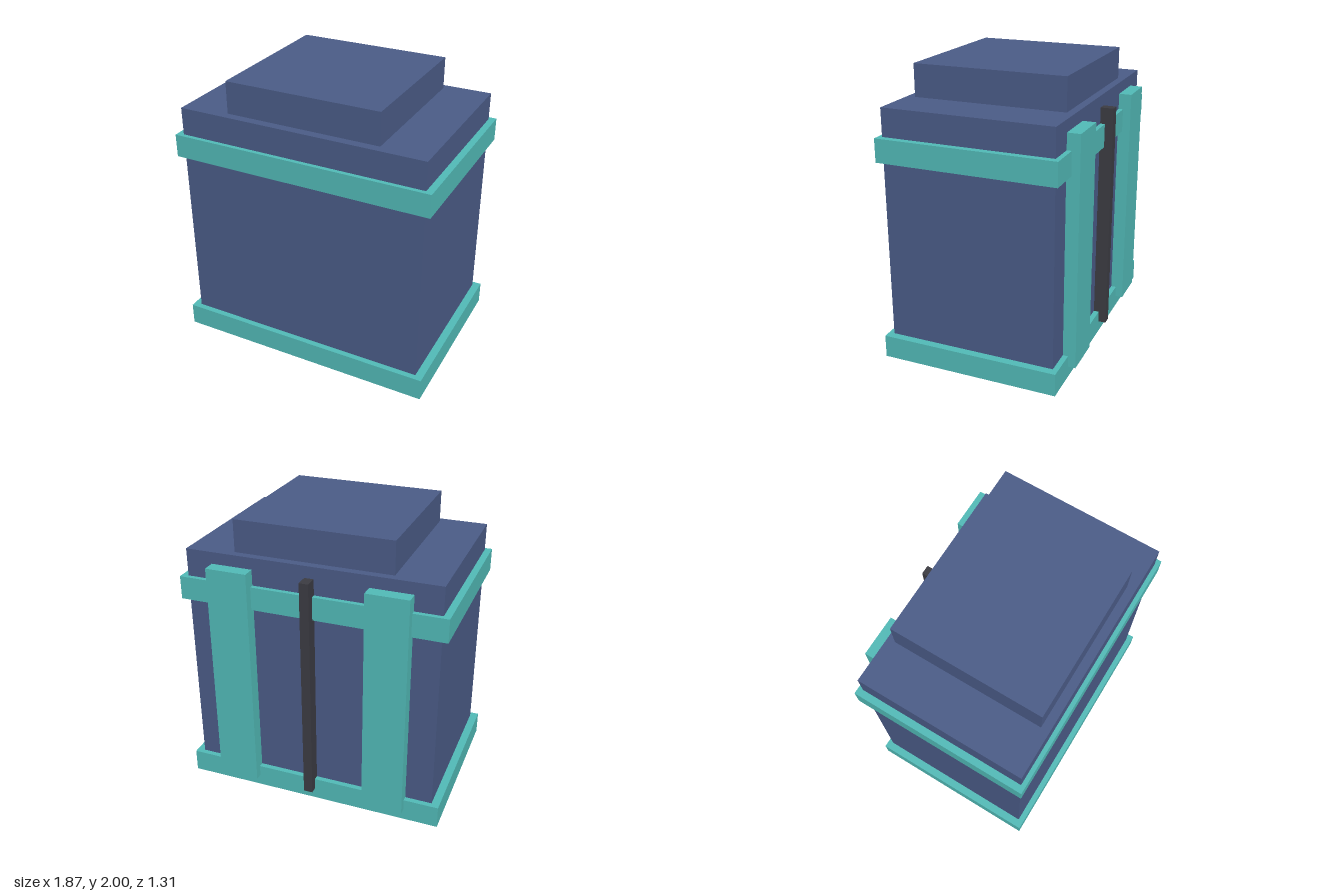
import * as THREE from 'three';

export function createModel() {
  const model = new THREE.Group();
  const navy = new THREE.MeshStandardMaterial({ name: 'navy', color: 0x4b5c88 });
  const teal = new THREE.MeshStandardMaterial({ name: 'teal', color: 0x52bbb8 });
  const charcoal = new THREE.MeshStandardMaterial({ name: 'charcoal', color: 0x3c3c43 });

  // Box given by its extents along each axis
  function block(name, material, [x0, x1], [y0, y1], [z0, z1]) {
    const mesh = new THREE.Mesh(new THREE.BoxGeometry(x1 - x0, y1 - y0, z1 - z0), material);
    mesh.position.set((x0 + x1) / 2, (y0 + y1) / 2, (z0 + z1) / 2);
    mesh.name = name;
    model.add(mesh);
  }

  // Main body and raised lid
  block('body', navy, [-0.88, 0.875], [0, 1.775], [-0.565, 0.615]);
  block('lid', navy, [-0.55, 0.545], [1.77, 2], [-0.51, 0.555]);

  // Bands around the body; the base sits a hair above the body's underside
  block('baseBand', teal, [-0.935, 0.93], [0.002, 0.162], [-0.602, 0.655]);
  block('upperBand', teal, [-0.927, 0.922], [1.42, 1.582], [-0.598, 0.645]);

  // Two wide straps and a slim central rod on the back
  const height = [0.083, 1.693], depth = [-0.655, -0.56];
  block('rightStrap', teal, [-0.693, -0.403], height, depth);
  block('leftStrap', teal, [0.4, 0.69], height, depth);
  block('centreRod', charcoal, [-0.034, 0.03], height, depth);

  return model;
}
